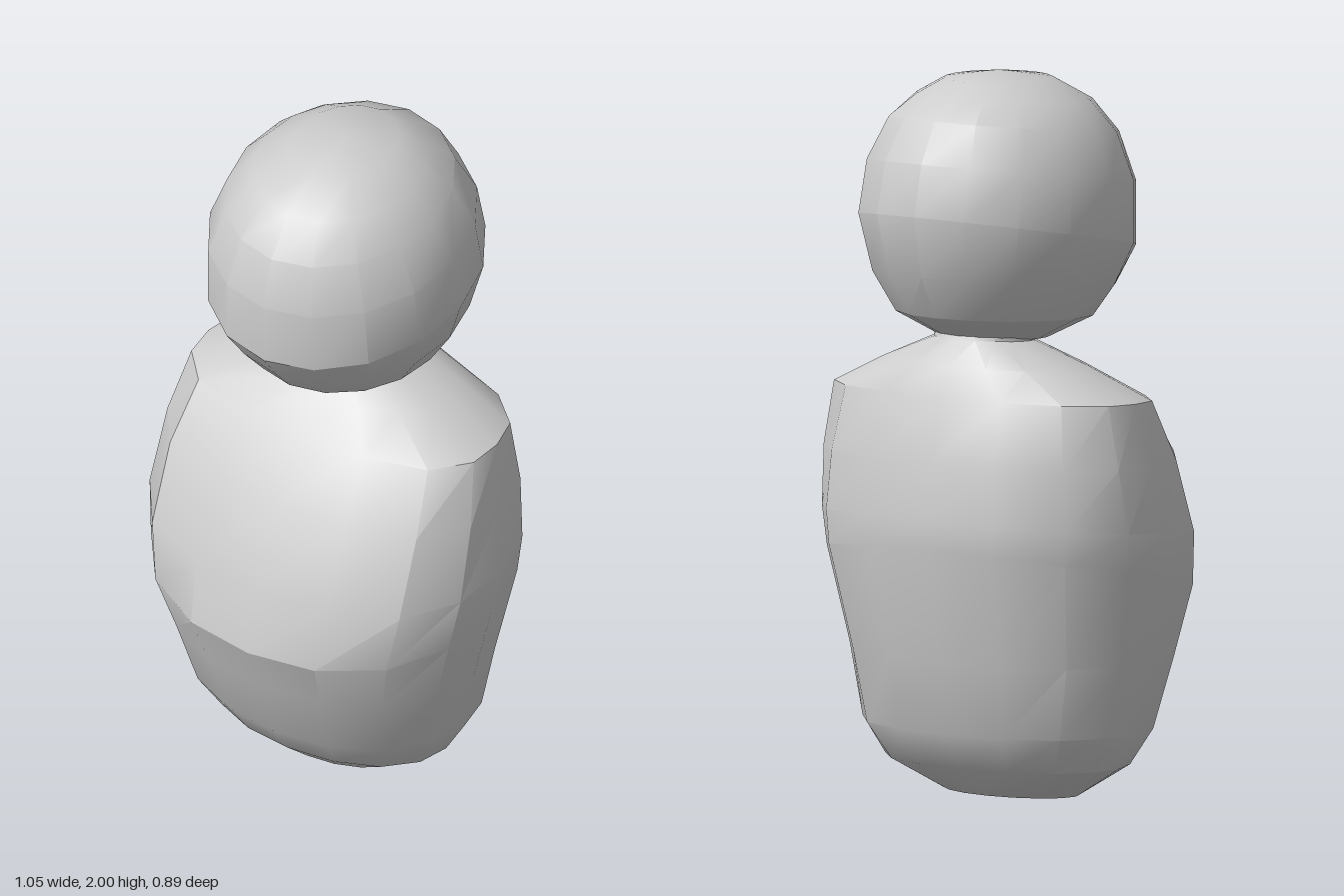
import * as THREE from 'three';
import { toCreasedNormals } from 'three/addons/utils/BufferGeometryUtils.js';

const SIDES = 16;

// Loft through closed cross-sections, bottom to top.
// Section: [yFront, yBack, halfWidth, zFront, zBack, frontSquareness, backSquareness]
function loft(sections, crease) {
  const pos = [], index = [];
  for (const [yf, yb, w, zf, zb, nf = 2, nb = 2] of sections) {
    const zm = (zf + zb) / 2, d = (zf - zb) / 2;
    for (let i = 0; i < SIDES; i++) {
      const a = (i / SIDES) * Math.PI * 2;
      const c = Math.cos(a), s = Math.sin(a);
      const n = s > 0 ? nf : nb;
      const r = Math.pow(Math.abs(c) ** n + Math.abs(s) ** n, -1 / n);
      pos.push(w * r * c, (yf + yb) / 2 + ((yf - yb) / 2) * s, zm + d * r * s);
    }
  }
  for (let k = 0; k < sections.length - 1; k++) {
    for (let i = 0; i < SIDES; i++) {
      const a = k * SIDES + i, b = k * SIDES + ((i + 1) % SIDES);
      index.push(a, a + SIDES, b, b, a + SIDES, b + SIDES);
    }
  }
  // Close both ends with a fan around the middle
  const cap = (k, up) => {
    const [yf, yb, , zf, zb] = sections[k];
    const m = pos.length / 3;
    pos.push(0, (yf + yb) / 2 + (up ? 0.02 : -0.01), (zf + zb) / 2);
    for (let i = 0; i < SIDES; i++) {
      const a = k * SIDES + i, b = k * SIDES + ((i + 1) % SIDES);
      if (up) index.push(a, m, b); else index.push(a, b, m);
    }
  };
  cap(0, false);
  cap(sections.length - 1, true);
  const geo = new THREE.BufferGeometry();
  geo.setAttribute('position', new THREE.Float32BufferAttribute(pos, 3));
  geo.setIndex(index);
  return toCreasedNormals(geo, crease);
}

export function createModel() {
  const group = new THREE.Group();
  const clay = new THREE.MeshStandardMaterial({ color: 0xcccccc });
  clay.name = 'grey clay';

  // Torso: rounded base, belly ridge in front, sloping chest and shoulders
  const body = new THREE.Mesh(loft([
    [0.01, 0.01, 0.21, 0.15, -0.09],
    [0.10, 0.10, 0.36, 0.25, -0.22, 2.1, 2.3],
    [0.20, 0.20, 0.42, 0.32, -0.28, 2.1, 2.4],
    [0.40, 0.40, 0.465, 0.39, -0.31, 2.1, 2.4],
    [0.54, 0.72, 0.515, 0.445, -0.39, 2.2, 2.4],
    [0.72, 0.80, 0.525, 0.40, -0.385, 2.6, 2.4],
    [0.95, 0.95, 0.505, 0.29, -0.365, 3.0, 2.4],
    [1.11, 1.13, 0.47, 0.175, -0.315, 3.0, 2.4],
    [1.20, 1.21, 0.30, 0.095, -0.28, 2.4, 2.2],
    [1.26, 1.28, 0.14, 0.035, -0.24],
    [1.32, 1.34, 0.13, 0.03, -0.22],
  ], 0.52), clay);
  body.name = 'body';

  // Head: faceted ball with its widest ring dipping towards the front
  const head = new THREE.Mesh(loft([
    [1.26, 1.28, 0.14, 0.11, -0.22],
    [1.32, 1.35, 0.265, 0.24, -0.34],
    [1.39, 1.47, 0.325, 0.30, -0.41],
    [1.48, 1.64, 0.37, 0.365, -0.445],
    [1.66, 1.78, 0.36, 0.37, -0.41],
    [1.80, 1.89, 0.305, 0.33, -0.345],
    [1.90, 1.94, 0.235, 0.25, -0.265],
    [1.97, 1.98, 0.14, 0.13, -0.20],
  ], 0.5), clay);
  head.name = 'head';

  group.add(body, head);
  return group;
}
